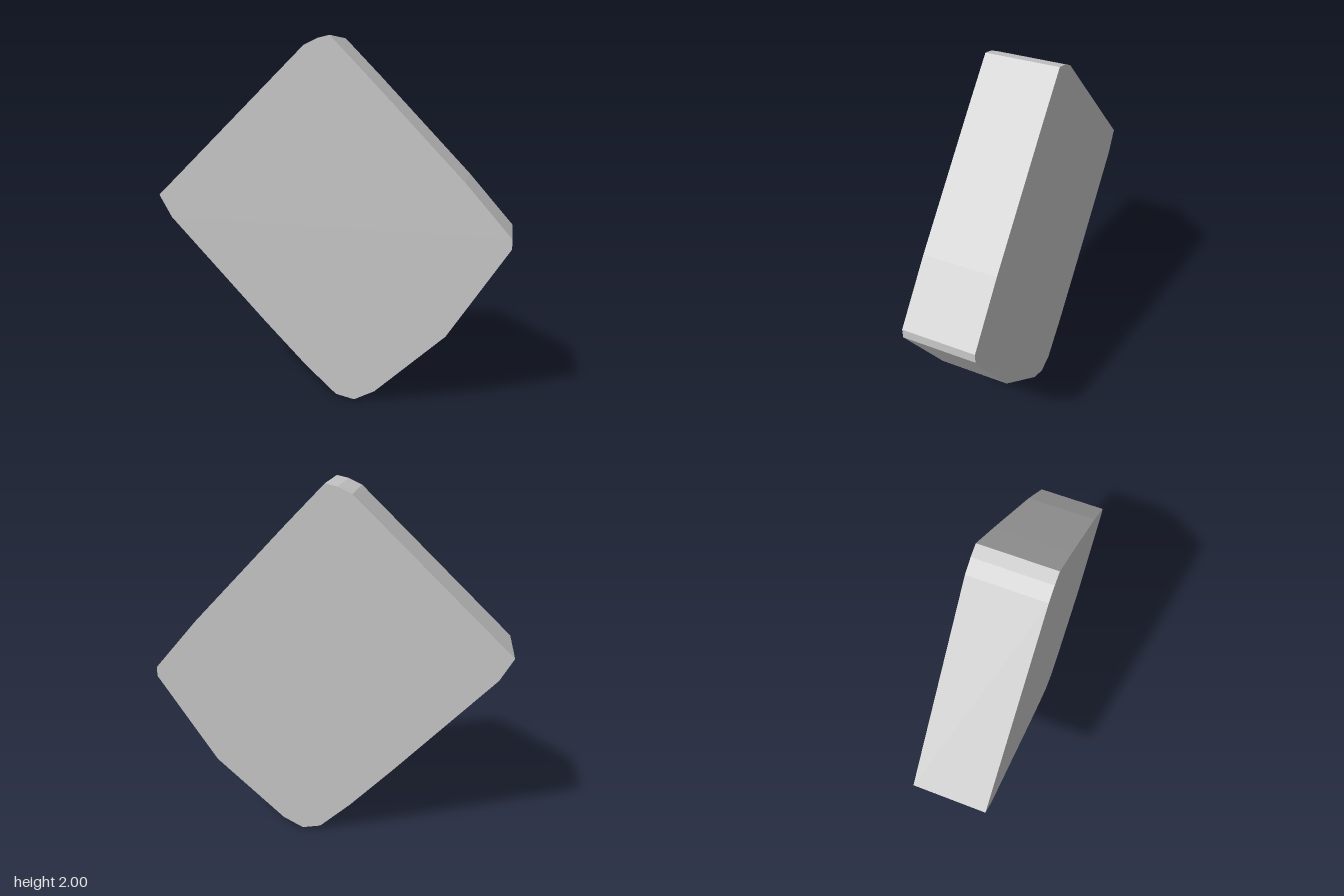
import * as THREE from 'three';

export function createModel() {
  const group = new THREE.Group();
  const depth = 0.396;

  // Outline of the tilted slab with worn corners, counter-clockwise from the top
  const outline = [
    [0.015, 2], [-0.05, 1.985], [-0.125, 1.95],
    [-0.982, 1.127], [-0.91, 1.0],
    [-0.37, 0.43], [-0.125, 0.18], [0.05, 0.022],
    [0.155, 0], [0.27, 0.06],
    [0.655, 0.413], [0.982, 0.913], [0.982, 0.966],
    [0.735, 1.25], [0.22, 1.79],
  ].map(([x, y]) => new THREE.Vector2(x, y));

  const geometry = new THREE.ExtrudeGeometry(new THREE.Shape(outline), {
    depth, bevelEnabled: false,
  });
  geometry.translate(0, 0, -depth / 2);

  const slab = new THREE.Mesh(
    geometry,
    new THREE.MeshStandardMaterial({ color: 0xcccccc, flatShading: true }),
  );
  slab.name = 'slab';
  group.add(slab);
  return group;
}
